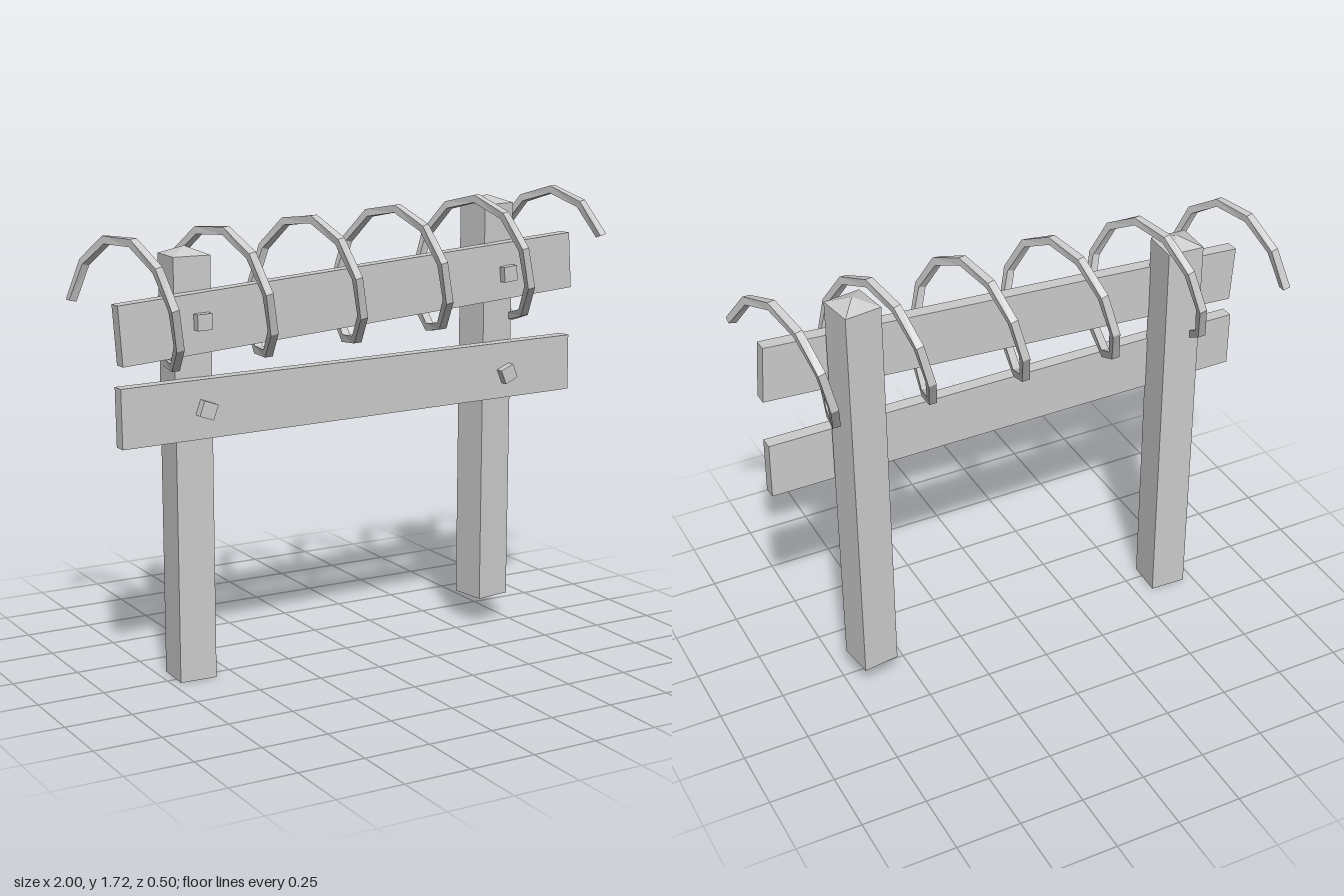
import * as THREE from 'three';

const material = new THREE.MeshStandardMaterial({ color: 0xcccccc, flatShading: true });

function addMesh(parent, name, geometry, x = 0, y = 0, z = 0) {
  const mesh = new THREE.Mesh(geometry, material);
  mesh.name = name;
  mesh.position.set(x, y, z);
  parent.add(mesh);
  return mesh;
}

// Square post with a shallow pyramid cap
function addPost(parent, name, x, z, bottom, height, yaw) {
  const size = 0.141, capHeight = 0.03;
  const post = new THREE.Group();
  post.name = name;
  post.position.set(x, bottom, z);
  post.rotation.y = yaw;
  addMesh(post, 'shaft', new THREE.BoxGeometry(size, height, size), 0, height / 2, 0);
  const cap = new THREE.ConeGeometry(size / Math.SQRT2, capHeight, 4, 1, true);
  cap.rotateY(Math.PI / 4);
  addMesh(post, 'cap', cap, 0, height + capHeight / 2, 0);
  parent.add(post);
}

// Square-section bar wound around a slightly rising axis
function coilGeometry() {
  const segments = 55, turns = 5.45, radius = 0.238, half = 0.0145;
  const startX = -0.985, pitch = 0.362;
  const corners = [[1, 1], [-1, 1], [-1, -1], [1, -1]];
  const positions = [], index = [];
  for (let i = 0; i <= segments; i++) {
    const t = (i / segments) * turns * Math.PI * 2;
    const x = startX + (pitch * t) / (Math.PI * 2);
    const radial = new THREE.Vector3(0, Math.sin(t), -Math.cos(t));
    const tangent = new THREE.Vector3(pitch / (Math.PI * 2), radius * Math.cos(t), radius * Math.sin(t)).normalize();
    const side = tangent.clone().cross(radial);
    const centre = new THREE.Vector3(x, 1.43 + 0.044 * x, 0).addScaledVector(radial, radius);
    for (const [r, s] of corners) {
      const p = centre.clone().addScaledVector(radial, r * half).addScaledVector(side, s * half);
      positions.push(p.x, p.y, p.z);
    }
    if (i === segments) break;
    for (let j = 0; j < 4; j++) {
      const a = i * 4 + j, b = i * 4 + (j + 1) % 4;
      index.push(a, b, b + 4, a, b + 4, a + 4);
    }
  }
  const e = segments * 4;
  index.push(0, 2, 1, 0, 3, 2, e, e + 1, e + 2, e, e + 2, e + 3);
  const geometry = new THREE.BufferGeometry();
  geometry.setAttribute('position', new THREE.Float32BufferAttribute(positions, 3));
  geometry.setIndex(index);
  geometry.computeVertexNormals();
  return geometry;
}

export function createModel() {
  const model = new THREE.Group();
  model.name = 'fence';

  // Posts
  addPost(model, 'rightPost', -0.643, -0.024, 0, 1.555, -0.04);
  addPost(model, 'leftPost', 0.65, -0.053, 0.112, 1.555, 0.14);

  // Planks across the front, slightly crooked
  const planks = [
    { name: 'upperPlank', y: 1.37, tilt: 0.07 },
    { name: 'lowerPlank', y: 1.024, tilt: 0.011 },
  ];
  for (const { name, y, tilt } of planks) {
    const plank = addMesh(model, name, new THREE.BoxGeometry(1.915, 0.215, 0.05), 0.01, y, 0.055);
    plank.rotation.set(0, 0.02, tilt);
  }

  // Square bolt heads: x, y, front z, roll
  const bolts = [
    [-0.635, 1.332, 0.125, 0.03],
    [0.665, 1.407, 0.097, 0.1],
    [-0.625, 1.017, 0.125, -0.35],
    [0.667, 1.02, 0.097, 0.4],
  ];
  for (const [x, y, front, roll] of bolts) {
    const bolt = addMesh(model, 'bolt', new THREE.BoxGeometry(0.058, 0.058, 0.045), x, y, front - 0.0225);
    bolt.rotation.set(0, 0.02, roll);
  }

  // Wire coil
  addMesh(model, 'wireCoil', coilGeometry());

  return model;
}
